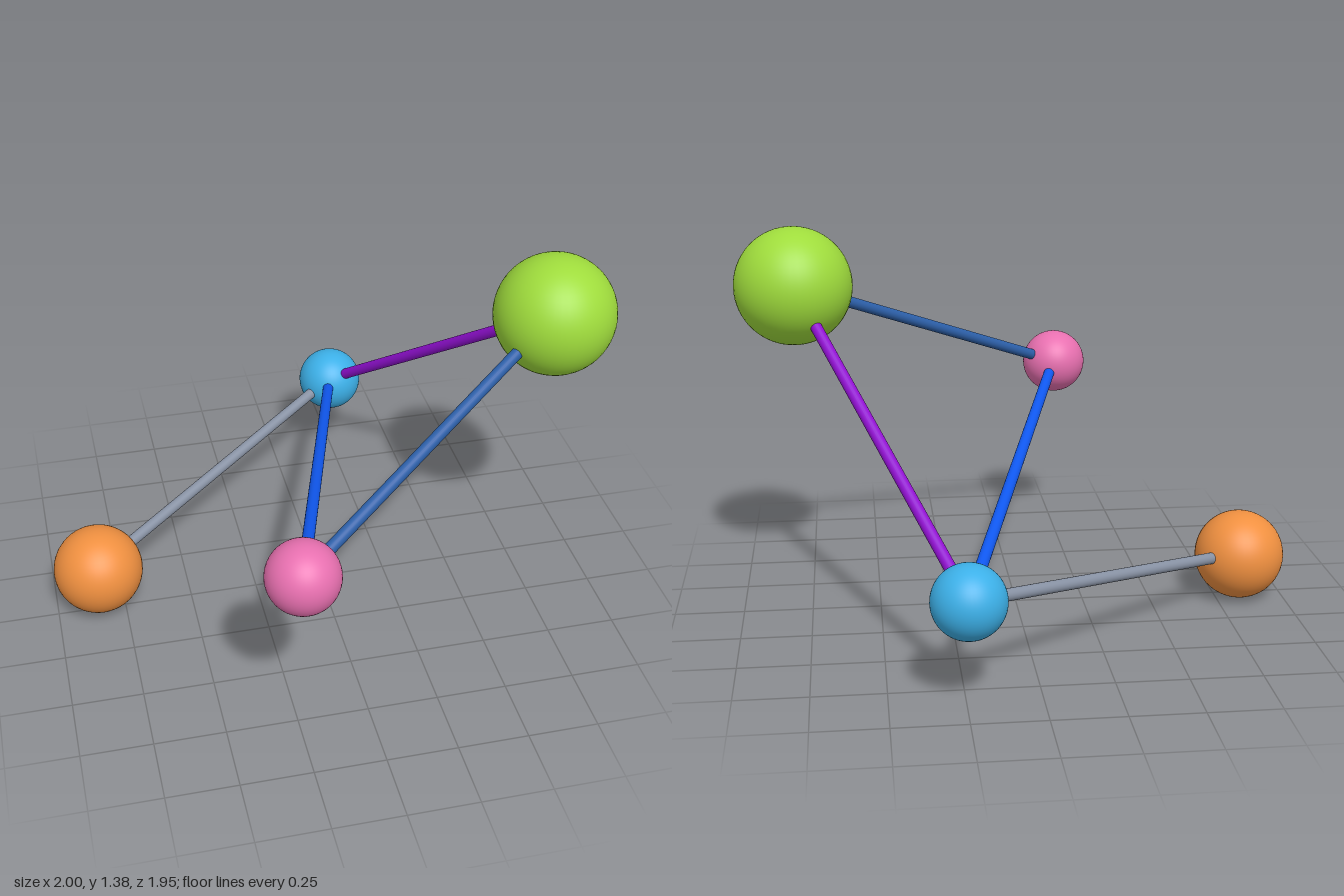
import * as THREE from 'three';

// Ball positions, radii and colours
const BALLS = {
  greenBall: { at: [0.785, 1.17, 0.2], radius: 0.214, color: 0x9fdc3c },
  pinkBall: { at: [-0.25, 0.714, 0.85], radius: 0.125, color: 0xe870b0 },
  blueBall: { at: [0.24, 0.348, -0.85], radius: 0.125, color: 0x3cb0e8 },
  orangeBall: { at: [-0.837, 0.164, -0.03], radius: 0.164, color: 0xf09040 },
};

// Rods: name, the two balls joined, colour
const RODS = [
  ['steelBlueRod', 'pinkBall', 'greenBall', 0x2c5fa8],
  ['brightBlueRod', 'pinkBall', 'blueBall', 0x1058f0],
  ['purpleRod', 'blueBall', 'greenBall', 0x9010d0],
  ['greyRod', 'blueBall', 'orangeBall', 0x8892a4],
];
const ROD_RADIUS = 0.021;

function addMesh(group, name, geometry, color) {
  const mesh = new THREE.Mesh(geometry, new THREE.MeshStandardMaterial({ color }));
  mesh.name = name;
  group.add(mesh);
  return mesh;
}

export function createModel() {
  const model = new THREE.Group();
  model.name = 'ballAndRodModel';

  for (const [name, { at, radius, color }] of Object.entries(BALLS)) {
    addMesh(model, name, new THREE.SphereGeometry(radius, 48, 32), color).position.set(...at);
  }

  // Each rod runs between the centres of its two balls
  for (const [name, from, to, color] of RODS) {
    const a = new THREE.Vector3(...BALLS[from].at);
    const b = new THREE.Vector3(...BALLS[to].at);
    const span = b.clone().sub(a);
    const rod = addMesh(model, name, new THREE.CylinderGeometry(ROD_RADIUS, ROD_RADIUS, span.length(), 24), color);
    rod.position.copy(a).lerp(b, 0.5);
    rod.quaternion.setFromUnitVectors(new THREE.Vector3(0, 1, 0), span.normalize());
  }
  return model;
}
